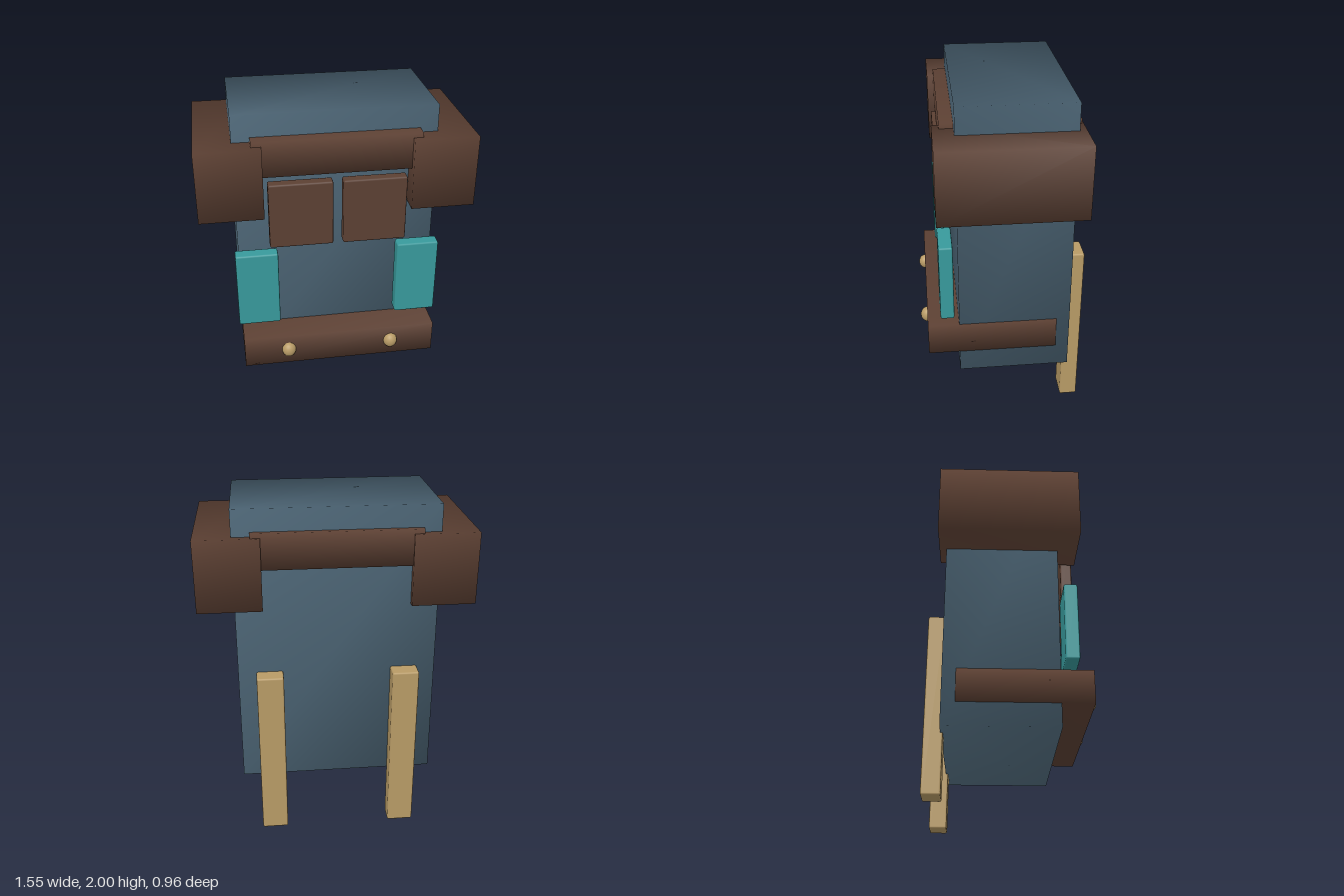
import * as THREE from 'three';
import { mergeVertices } from 'three/addons/utils/BufferGeometryUtils.js';
import { RoundedBoxGeometry } from 'three/addons/geometries/RoundedBoxGeometry.js';

const material = (name, color) => {
  const m = new THREE.MeshStandardMaterial({ color });
  m.name = name;
  return m;
};

// Box with shared corners, so its shading runs softly across the edges
function softBox(w, h, d) {
  const g = new THREE.BoxGeometry(w, h, d);
  g.deleteAttribute('uv');
  g.deleteAttribute('normal');
  const merged = mergeVertices(g);
  merged.computeVertexNormals();
  return merged;
}

const edgedBox = (w, h, d) => new RoundedBoxGeometry(w, h, d, 1, 0.01);

export function createModel() {
  const model = new THREE.Group();
  const slate = material('slate blue', 0x4a6272);
  const brown = material('dark brown', 0x5c4033);
  const teal = material('teal', 0x389a9c);
  const tan = material('tan', 0xb89b66);

  // Adds a box given by its lower and upper limits on each axis
  function block(name, mat, make, [x0, x1], [y0, y1], [z0, z1]) {
    const mesh = new THREE.Mesh(make(x1 - x0, y1 - y0, z1 - z0), mat);
    mesh.position.set((x0 + x1) / 2, (y0 + y1) / 2, (z0 + z1) / 2);
    mesh.name = name;
    model.add(mesh);
  }

  // Torso, with the collar and belt wrapped round it
  block('body', slate, softBox, [-0.57, 0.57], [0.34, 2], [-0.39, 0.258]);
  block('collar', brown, softBox, [-0.47, 0.47], [1.667, 1.873], [-0.42, 0.335]);
  block('belt', brown, softBox, [-0.573, 0.573], [0.477, 0.67], [-0.313, 0.44]);

  // Paired parts
  for (const [side, s] of [['left', 1], ['right', -1]]) {
    const span = (a, b) => (s > 0 ? [a, b] : [-b, -a]);
    block(side + 'Shoulder', brown, softBox, span(0.415, 0.777), [1.433, 1.847], [-0.43, 0.373]);
    block(side + 'ChestPlate', brown, edgedBox, span(0.028, 0.39), [1.237, 1.627], [0.29, 0.358]);
    block(side + 'SidePlate', teal, edgedBox, span(0.347, 0.592), [0.73, 1.198], [0.285, 0.365]);
    block(side + 'BackPost', tan, edgedBox, span(0.312, 0.467), [0, 1.04], [-0.483, -0.377]);

    const stud = new THREE.Mesh(new THREE.SphereGeometry(1, 20, 14), tan);
    stud.scale.set(0.042, 0.047, 0.042);
    stud.position.set(s * 0.31, 0.575, 0.438);
    stud.name = side + 'BeltStud';
    model.add(stud);
  }
  return model;
}
